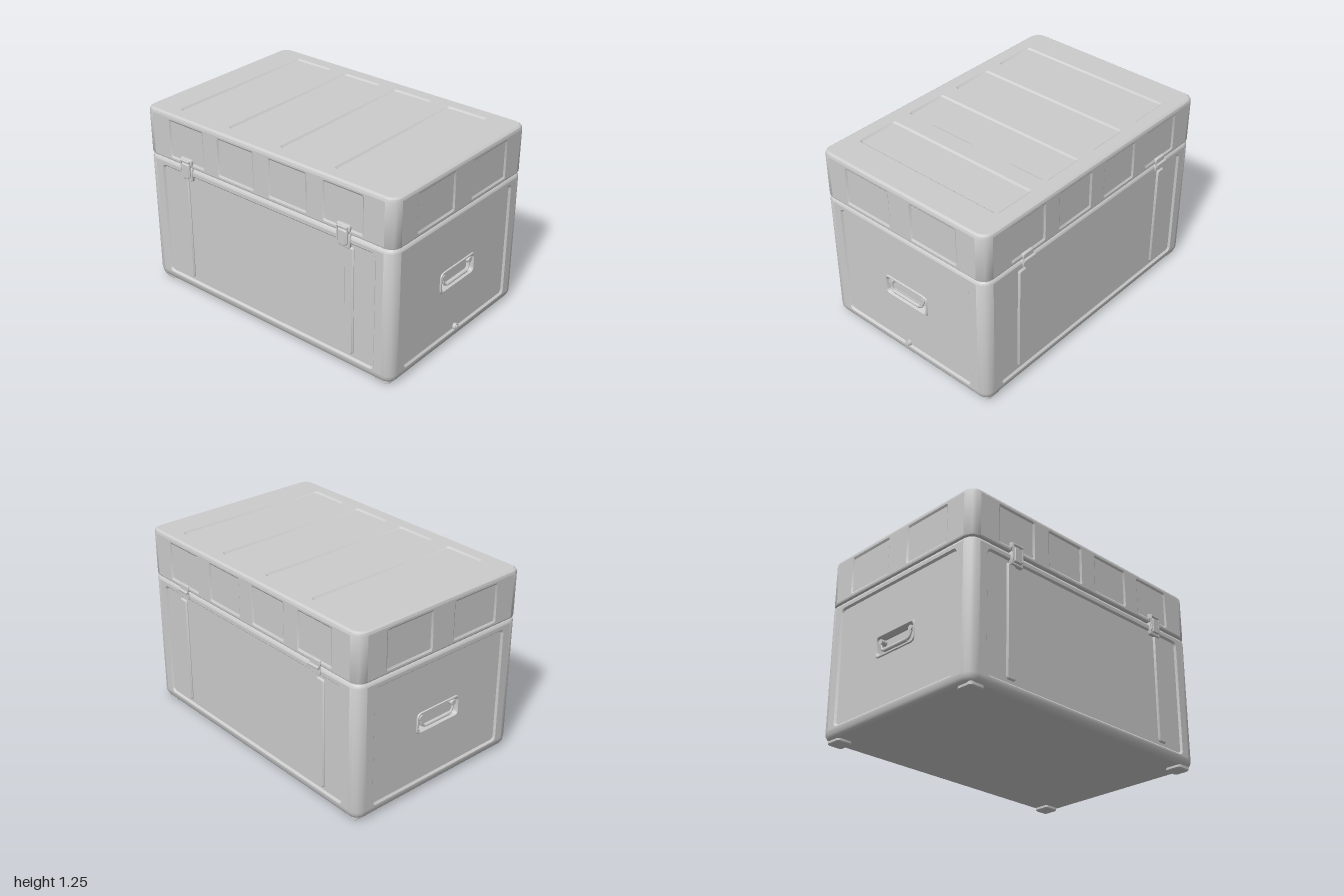
import * as THREE from 'three';
import { mergeGeometries, toCreasedNormals } from 'three/addons/utils/BufferGeometryUtils.js';

const N = 4;                                  // segments per rounded corner
const W = 1.985, D = 1.32, R = 0.07, CX = -0.0075;
const mat = new THREE.MeshStandardMaterial({ color: 0xcccccc });

// Counter-clockwise points of a rounded rectangle
function ring(w, h, r, cx = 0, cy = 0) {
  const pts = [];
  [[1, 1], [-1, 1], [-1, -1], [1, -1]].forEach(([sx, sy], k) => {
    for (let i = 0; i <= N; i++) {
      const a = (k + i / N) * Math.PI / 2;
      pts.push(new THREE.Vector2(cx + sx * (w / 2 - r) + r * Math.cos(a), cy + sy * (h / 2 - r) + r * Math.sin(a)));
    }
  });
  return pts;
}

// Flat face at height z, with holes
function flat(points, holes = [], z = 0) {
  const shape = new THREE.Shape(points);
  shape.holes = holes.map(h => new THREE.Path(h));
  const g = new THREE.ShapeGeometry(shape).toNonIndexed().translate(0, 0, z);
  g.deleteAttribute('uv');
  return g;
}

// Loft through rings [w, h, r, z], closed by a face on the last one.
// In band "open" the four straight sides are left out for separate walls.
function loft(rings, { cx = 0, cy = 0, holes = [], cap = true, open = -1 } = {}) {
  const loops = rings.map(([w, h, r]) => ring(w, h, r, cx, cy));
  const M = loops[0].length, pos = [], idx = [];
  loops.forEach((l, j) => l.forEach(p => pos.push(p.x, p.y, rings[j][3])));
  for (let j = 0; j < loops.length - 1; j++) {
    for (let i = 0; i < M; i++) {
      if (j === open && i % (N + 1) === N) continue;
      const a = j * M + i, b = j * M + (i + 1) % M;
      idx.push(a, b, b + M, a, b + M, a + M);
    }
  }
  const g = new THREE.BufferGeometry();
  g.setAttribute('position', new THREE.Float32BufferAttribute(pos, 3));
  g.setIndex(idx);
  const side = toCreasedNormals(g, 0.6);
  return cap ? mergeGeometries([side, flat(loops.at(-1), holes, rings.at(-1)[3])]) : side;
}

function add(parent, name, geo, x = 0, y = 0, z = 0) {
  const m = new THREE.Mesh(geo, mat);
  m.name = name;
  m.position.set(x, y, z);
  parent.add(m);
  return m;
}

// Sunken panel and raised pad with sloped edges
const dish = (p, d, holes) => loft(
  [[p.w, p.h, p.r, 0], [p.w - 0.024, p.h - 0.024, p.r - 0.008, -d]], { cx: p.x, cy: p.y, holes });
const pad = (w, h, r, z0, z1, s = 0.006) => loft(
  [[w, h, r, z0], [w, h, r, z1 - s], [w - 2 * s, h - 2 * s, r - s * 0.6, z1]]);
const outline = p => ring(p.w, p.h, p.r, p.x, p.y);

// One wall: a flat sheet from y0 to y1 with sunken panels
function wall(parent, name, width, y0, y1, panels, depth, floorHoles) {
  const w = width / 2;
  const rect = [[-w, y0], [w, y0], [w, y1], [-w, y1]].map(p => new THREE.Vector2(...p));
  add(parent, name, flat(rect, panels.map(outline)));
  panels.forEach(p => add(parent, name + 'Panel', dish(p, depth, floorHoles)));
}

const inset = (i, y) => [W - 2 * i, D - 2 * i, R - i, y];
const cylinderZ = (r, len) => new THREE.CylinderGeometry(r, r, len, 16).rotateX(Math.PI / 2);
const cylinderX = (r, len) => new THREE.CylinderGeometry(r, r, len, 12).rotateZ(Math.PI / 2);

// Recessed grip with a folding bail handle
function makeHandle() {
  const g = new THREE.Group();
  g.name = 'handle';
  add(g, 'handlePocket', loft([
    [0.36, 0.15, 0.034, -0.012], [0.352, 0.142, 0.03, -0.004], [0.334, 0.124, 0.024, -0.004],
    [0.318, 0.108, 0.02, -0.016], [0.31, 0.1, 0.018, -0.05]]));
  const path = [[-0.135, 0.028], [-0.133, 0], [-0.122, -0.025], [-0.1, -0.035],
    [0.1, -0.035], [0.122, -0.025], [0.133, 0], [0.135, 0.028]]
    .map(([x, y]) => new THREE.Vector3(x, y, -0.018));
  add(g, 'handleBail', new THREE.TubeGeometry(new THREE.CatmullRomCurve3(path, false, 'centripetal'), 48, 0.008, 8));
  add(g, 'handleGrip', cylinderX(0.012, 0.21), 0, -0.035, -0.018);
  for (const s of [-1, 1]) add(g, 'handlePivot', cylinderZ(0.018, 0.04), s * 0.135, 0.028, -0.03);
  g.position.y = 0.485;
  return g;
}

// Draw latch bridging lid and body
function makeLatch() {
  const g = new THREE.Group();
  g.name = 'latch';
  add(g, 'latchCatch', pad(0.1, 0.045, 0.01, -0.012, 0.012), 0, 0.967, 0);
  add(g, 'latchBase', pad(0.098, 0.09, 0.01, -0.014, 0.01), 0, 0.885, 0);
  add(g, 'latchLever', pad(0.064, 0.1, 0.01, 0, 0.022), 0, 0.908, 0);
  for (const s of [-1, 1]) add(g, 'latchLink', new THREE.BoxGeometry(0.008, 0.1, 0.01), s * 0.037, 0.925, 0.013);
  add(g, 'latchHook', cylinderX(0.008, 0.075), 0, 0.974, 0.014);
  return g;
}

// Two-leaf hinge
function makeHinge() {
  const g = new THREE.Group();
  g.name = 'hinge';
  add(g, 'hingeLeafTop', pad(0.09, 0.04, 0.008, -0.01, 0.01, 0.004), 0, 0.947, 0);
  add(g, 'hingeLeafBottom', pad(0.09, 0.045, 0.008, -0.014, 0.01, 0.004), 0, 0.895, 0);
  add(g, 'hingeBarrel', cylinderX(0.011, 0.09), 0, 0.922, 0.012);
  return g;
}

export function createModel() {
  const model = new THREE.Group();
  model.name = 'storageChest';
  const box = new THREE.Group();
  box.name = 'chest';
  box.position.x = CX;
  model.add(box);

  // Corner posts and rounded edges of body and lid
  const upright = g => g.rotateX(-Math.PI / 2);
  add(box, 'bodyShell', upright(loft([inset(0.03, 0.02), inset(0.014, 0.028), inset(0.004, 0.045),
    inset(0, 0.07), inset(0, 0.9), inset(0.006, 0.915), inset(0.02, 0.925)], { open: 3 })));
  add(box, 'bodyFloor', flat(ring(W - 0.06, D - 0.06, R - 0.03)).rotateX(Math.PI / 2), 0, 0.02, 0);
  const columns = [-0.628, -0.209, 0.209, 0.628];
  const topPanels = columns.map(x => ({ x, y: 0, w: 0.3, h: 1.12, r: 0.022 }));
  add(box, 'lidShell', upright(loft([inset(0.02, 0.925), inset(0.004, 0.931), inset(0, 0.94),
    inset(0, 1.225), inset(0.006, 1.241), inset(0.02, 1.25)], { open: 2, holes: topPanels.map(outline) })));
  topPanels.forEach(p => add(box, 'lidTopPanel', upright(dish(p, 0.01)), 0, 1.25, 0));

  // Four sides, each built facing +z and turned into place
  ['front', 'right', 'back', 'left'].forEach((name, k) => {
    const side = new THREE.Group();
    side.name = name + 'Side';
    const long = k % 2 === 0;
    const turn = [0, -Math.PI / 2, Math.PI, Math.PI / 2][k];
    side.rotation.y = turn;
    side.position.set(Math.sin(turn) * W / 2, 0, Math.cos(turn) * D / 2);
    box.add(side);

    const width = (long ? W : D) - 2 * R;
    const lidPanels = (long ? columns : [-0.267, 0.267])
      .map(x => ({ x, y: 1.083, w: long ? 0.3 : 0.365, h: 0.262, r: 0.014 }));
    wall(side, 'lidWall', width, 0.94, 1.225, lidPanels, 0.008);
    const bodyPanel = { x: 0, y: 0.478, w: long ? 1.735 : 1.07, h: 0.8, r: 0.03 };
    wall(side, 'bodyWall', width, 0.07, 0.9, [bodyPanel], 0.012,
      long ? [] : [ring(0.36, 0.15, 0.034, 0, 0.485)]);

    if (long) {
      for (const s of [-1, 1]) {
        add(side, 'rib', pad(0.07, 0.74, 0.016, -0.013, 0, 0.008), s * 0.67, 0.48, 0);
        const fitting = k === 0 ? makeLatch() : makeHinge();
        fitting.position.x = s * 0.636;
        side.add(fitting);
      }
    } else {
      side.add(makeHandle());
    }
    // Drain plug
    if (name === 'left') {
      add(side, 'drainPlug', cylinderZ(0.02, 0.022), 0, 0.1, -0.002);
      add(side, 'drainPlugCap', cylinderZ(0.013, 0.006), 0, 0.1, 0.012);
    }
  });

  // Corner feet
  for (const sx of [-1, 1]) for (const sz of [-1, 1]) {
    add(box, 'foot', pad(0.11, 0.115, 0.02, -0.026, 0, 0.006).rotateX(Math.PI / 2), sx * 0.905, 0, sz * 0.58);
  }
  return model;
}
